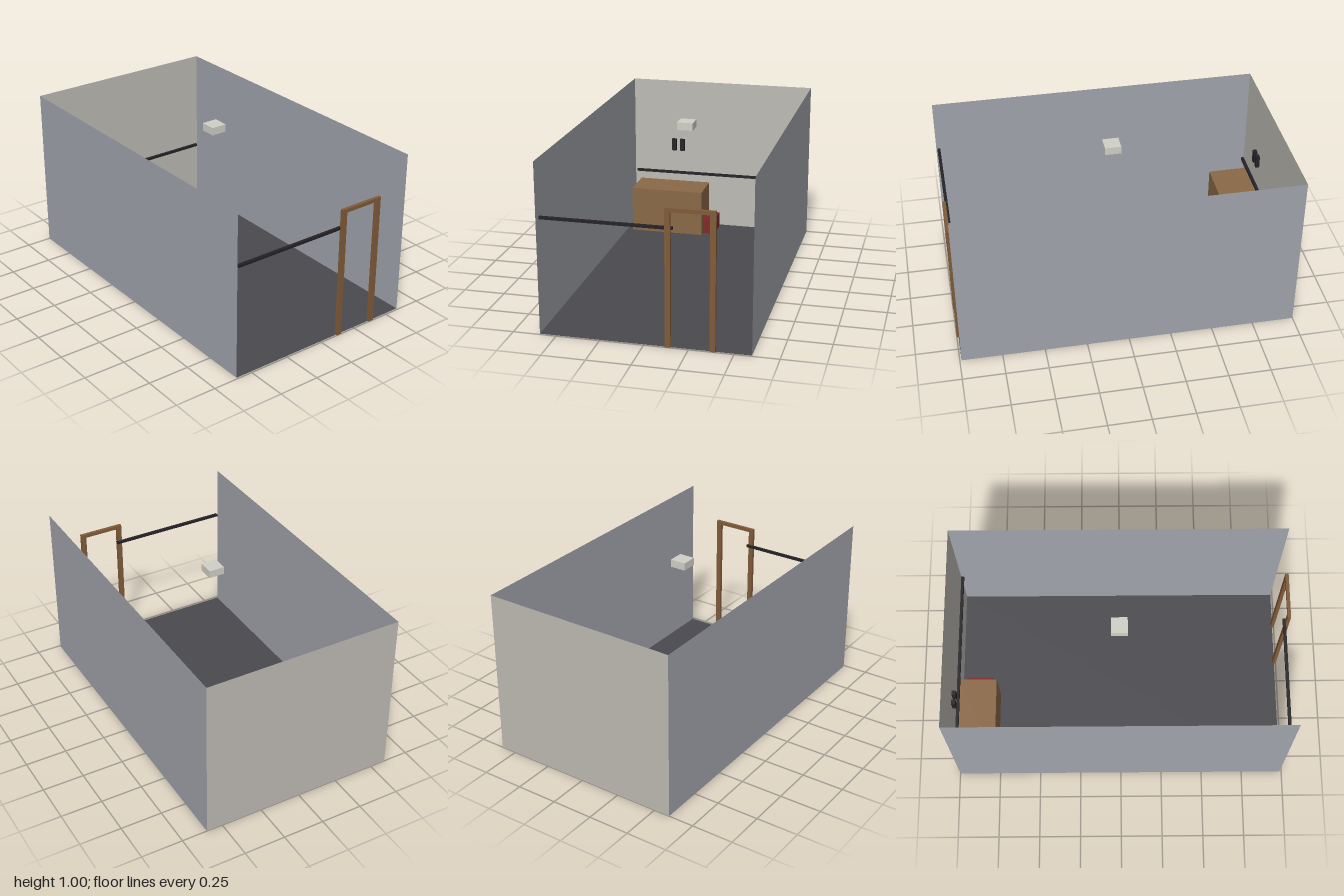
import * as THREE from 'three';

const material = (color, side = THREE.FrontSide) => new THREE.MeshStandardMaterial({ color, side });

export function createModel() {
  const room = new THREE.Group();
  room.name = 'room';

  const W = 0.597, H = 0.996, BACK = -1, FRONT = 0.99;
  const length = FRONT - BACK, midZ = (FRONT + BACK) / 2;
  const wood = material(0x8a6846), doorWood = material(0x805b39);
  const black = material(0x242226), red = material(0x802628), lampGrey = material(0xd0d0c6);
  const sideGrey = material(0xa0a3ab, THREE.DoubleSide);
  const cream = material(0xbebbb4, THREE.DoubleSide);
  const floorGrey = material(0x4a494e, THREE.DoubleSide);

  const add = (name, geometry, mat, x, y, z, parent = room) => {
    const mesh = new THREE.Mesh(geometry, mat);
    mesh.name = name;
    mesh.position.set(x, y, z);
    parent.add(mesh);
    return mesh;
  };
  // Box given by its extents on each axis
  const box = (name, mat, [x0, x1], [y0, y1], [z0, z1], parent) =>
    add(name, new THREE.BoxGeometry(x1 - x0, y1 - y0, z1 - z0), mat,
      (x0 + x1) / 2, (y0 + y1) / 2, (z0 + z1) / 2, parent);

  // Shell of thin sheets, open at the front and top
  add('floor', new THREE.PlaneGeometry(2 * W, length), floorGrey, 0, 0, midZ).rotation.x = -Math.PI / 2;
  add('backWall', new THREE.PlaneGeometry(2 * W, H), cream, 0, H / 2, BACK);
  for (const [name, s] of [['leftWall', 1], ['rightWall', -1]]) {
    add(name, new THREE.PlaneGeometry(length, H), sideGrey, s * W, H / 2, midZ).rotation.y = -s * Math.PI / 2;
  }

  // Cabinet and low red box in the back corner
  box('cabinet', wood, [-0.557, -0.08], [0.001, 0.2985], [-0.999, -0.761]);
  box('redBox', red, [-0.08, 0], [0.001, 0.1], [-0.965, -0.805]);

  // Wall rails
  box('backRail', black, [-0.582, 0.582], [0.353, 0.368], [-0.995, -0.977]);
  box('frontRail', black, [-0.582, 0.158], [0.671, 0.686], [0.966, 0.984]);

  // Pair of small panels on the back wall
  for (const x of [-0.32, -0.264]) {
    box('wallPanel', black, [x - 0.015, x + 0.015], [0.518, 0.597], [-0.995, -0.972]);
  }

  // Door frame: two posts and a lintel
  const door = new THREE.Group();
  door.name = 'doorFrame';
  room.add(door);
  const depth = [0.98, 1];
  box('doorPost', doorWood, [0.119, 0.15], [0, 0.775], depth, door);
  box('doorPost', doorWood, [0.366, 0.398], [0, 0.775], depth, door);
  box('doorLintel', doorWood, [0.119, 0.398], [0.775, 0.797], depth, door);

  // Hanging lamp box
  box('ceilingLamp', lampGrey, [-0.048, 0.048], [0.95, H], [-0.053, 0.043]);

  return room;
}
